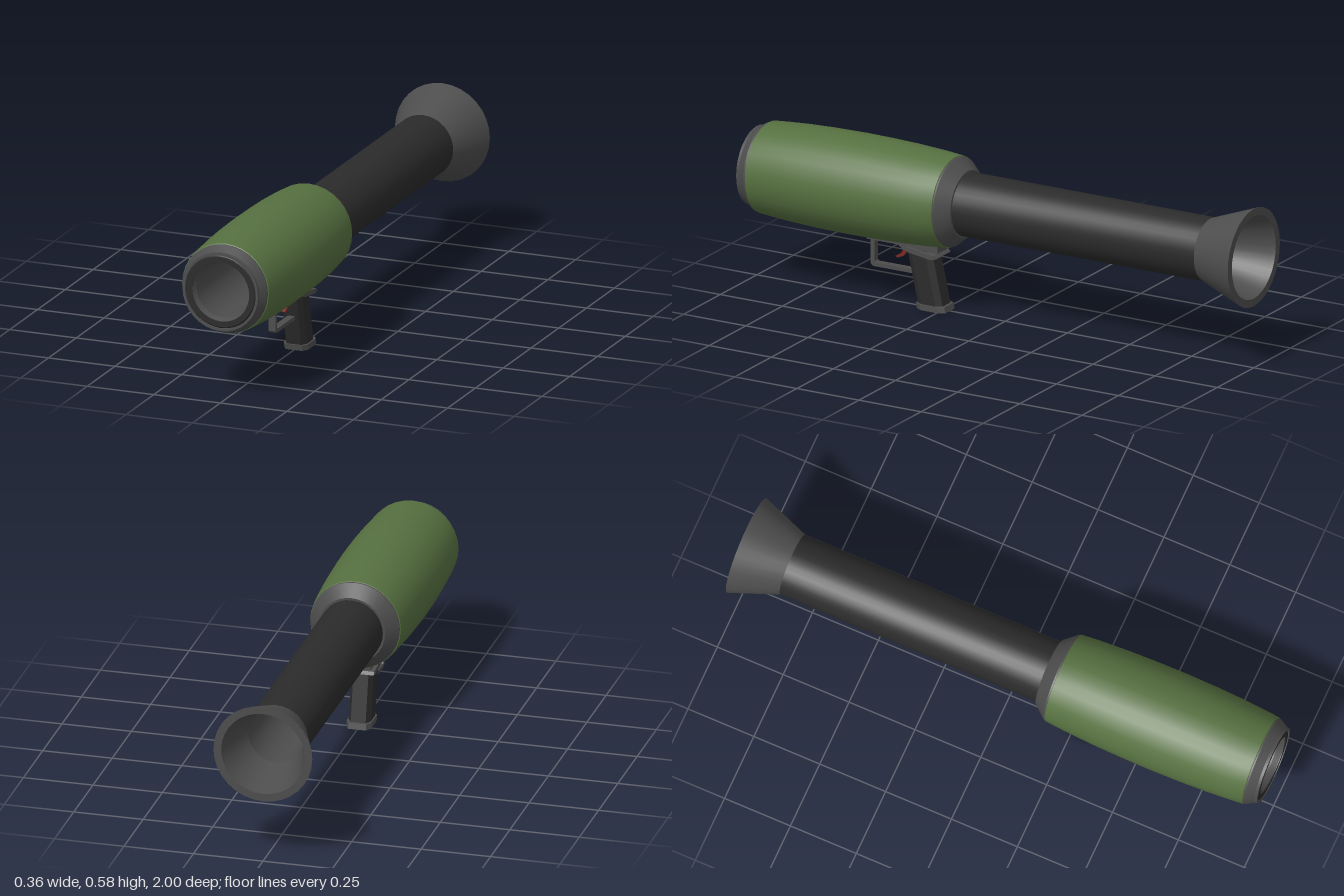
import * as THREE from 'three';
import { toCreasedNormals } from 'three/addons/utils/BufferGeometryUtils.js';

const AXIS_Y = 0.403;
const mat = (color) => new THREE.MeshStandardMaterial({ color });

export function createModel() {
  const group = new THREE.Group();
  const dark = mat(0x2b2b2b), grey = mat(0x4d4d4d), green = mat(0x567040), red = mat(0x7a2a22);

  const add = (name, geometry, material, x = 0, y = 0, z = 0) => {
    const mesh = new THREE.Mesh(geometry, material);
    mesh.name = name;
    mesh.position.set(x, y, z);
    group.add(mesh);
    return mesh;
  };

  // Turned part along z: profile points are [radius, z], rising z faces outward
  const turned = (name, profile, material) => {
    const g = new THREE.LatheGeometry(profile.map(([r, z]) => new THREE.Vector2(r, z)), 32);
    g.rotateX(Math.PI / 2);
    return add(name, toCreasedNormals(g, 0.35), material, 0, AXIS_Y, 0);
  };

  // Side outline in [z, y], extruded across x and centred
  const sidePlate = (name, outline, width, material) => {
    const shape = new THREE.Shape(outline.map(([z, y]) => new THREE.Vector2(-z, y)));
    const g = new THREE.ExtrudeGeometry(shape, { depth: width, bevelEnabled: false });
    g.translate(0, 0, -width / 2).rotateY(Math.PI / 2);
    return add(name, g, material);
  };

  // Barrel and bore
  turned('barrel', [[0.113, -0.83], [0.113, 0.16]], dark);
  turned('bore', [[0.108, 0.995], [0.1, 0.975], [0.1, -0.83]], grey);
  turned('muzzleRing', [[0.133, 0.97], [0.133, 0.992], [0.128, 0.998], [0.108, 0.998], [0.108, 0.985]], dark);

  // Flared exhaust with a thick rim
  turned('exhaustCone', [[0.1, -0.83], [0.146, -0.985], [0.15, -1], [0.178, -1], [0.113, -0.825]], grey);

  // Bulging sleeve with a collar at each end
  turned('sleeve', [
    [0.155, 0.2], [0.163, 0.203], [0.169, 0.27], [0.175, 0.38], [0.178, 0.49], [0.179, 0.6],
    [0.177, 0.72], [0.173, 0.82], [0.167, 0.91], [0.163, 0.953], [0.155, 0.957],
  ], green);
  turned('frontCollar', [[0.16, 0.95], [0.16, 0.96], [0.143, 0.99], [0.142, 1], [0.133, 1], [0.133, 0.98]], grey);
  turned('rearCollar', [[0.113, 0.15], [0.121, 0.15], [0.16, 0.196], [0.16, 0.207]], grey);

  // Trigger housing under the sleeve
  sidePlate('triggerHousing', [[0.535, 0.223], [0.535, 0.245], [0.25, 0.25], [0.25, 0.215], [0.4, 0.215], [0.41, 0.223]], 0.08, grey);

  // Grip outline with chamfered corners, leaning back toward the bottom
  const gripBlock = (name, w, d, y0, y1, z0, material) => {
    const c = 0.013, hw = w / 2, hd = d / 2;
    const shape = new THREE.Shape([
      [-hw + c, -hd], [hw - c, -hd], [hw, -hd + c * 1.7], [hw, hd - c * 1.7],
      [hw - c, hd], [-hw + c, hd], [-hw, hd - c * 1.7], [-hw, -hd + c * 1.7],
    ].map(([x, y]) => new THREE.Vector2(x, y)));
    const g = new THREE.ExtrudeGeometry(shape, { depth: y1 - y0, bevelEnabled: false });
    g.rotateX(-Math.PI / 2).translate(0, y0, z0);
    const p = g.attributes.position;
    for (let i = 0; i < p.count; i++) p.setZ(i, p.getZ(i) + p.getY(i) * 0.22);
    g.computeVertexNormals();
    return add(name, g, material);
  };
  gripBlock('grip', 0.08, 0.1, 0.01, 0.225, 0.282, dark);
  gripBlock('gripBase', 0.09, 0.115, 0, 0.021, 0.28, grey);

  // Wide slanting guard plate around the top of the grip
  sidePlate('gripGuard', [[0.39, 0.216], [0.37, 0.224], [0.26, 0.208], [0.25, 0.198], [0.27, 0.192], [0.36, 0.205]], 0.104, grey);

  // Trigger guard: a bent strap
  sidePlate('triggerGuard', [
    [0.535, 0.235], [0.535, 0.126], [0.525, 0.117], [0.34, 0.117], [0.34, 0.131],
    [0.515, 0.131], [0.52, 0.136], [0.52, 0.235],
  ], 0.026, grey);

  // Curved trigger
  sidePlate('trigger', [
    [0.415, 0.23], [0.405, 0.2], [0.415, 0.18], [0.437, 0.168], [0.43, 0.162],
    [0.405, 0.173], [0.392, 0.195], [0.385, 0.23],
  ], 0.016, red);

  return group;
}
